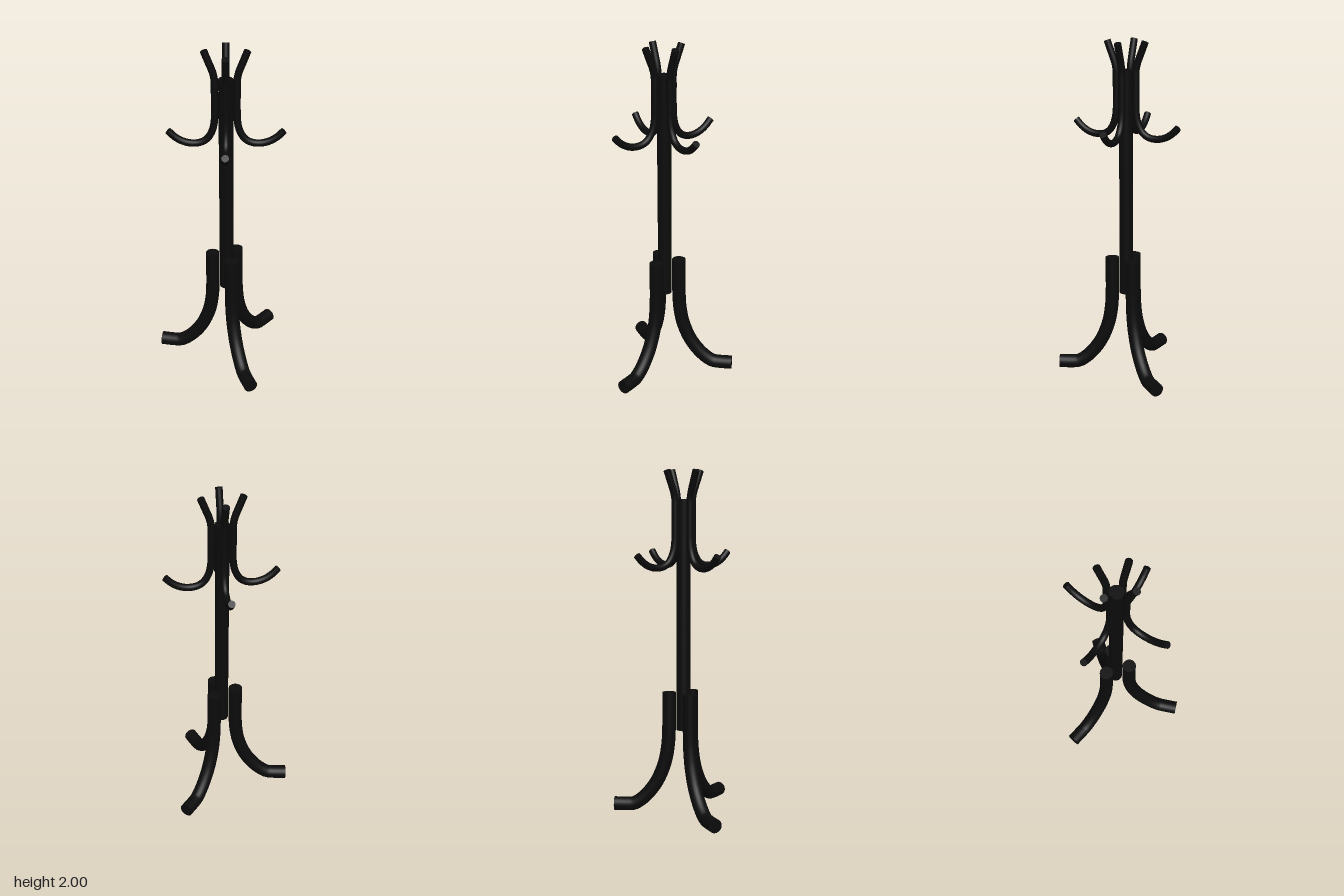
import * as THREE from 'three';

const black = new THREE.MeshStandardMaterial({ color: 0x0b0b0b });
black.name = 'black';

// Round bar with flat end caps, bent along a profile of [distance from pole, height]
function bentBar(name, profile, radius, segments) {
  const group = new THREE.Group();
  group.name = name;
  const curve = new THREE.CatmullRomCurve3(profile.map(([r, y]) => new THREE.Vector3(r, y, 0)));
  const bar = new THREE.Mesh(new THREE.TubeGeometry(curve, segments, radius, 24), black);
  bar.name = name + 'Bar';
  group.add(bar);
  for (const t of [0, 1]) {
    const cap = new THREE.Mesh(new THREE.CircleGeometry(radius, 24), black);
    cap.name = name + 'Cap';
    const outward = curve.getTangentAt(t).multiplyScalar(t ? 1 : -1);
    cap.position.copy(curve.getPointAt(t));
    cap.quaternion.setFromUnitVectors(new THREE.Vector3(0, 0, 1), outward);
    group.add(cap);
  }
  return group;
}

export function createModel() {
  const model = new THREE.Group();
  model.name = 'coatStand';

  // Everything is arranged around the pole axis
  const stand = new THREE.Group();
  stand.name = 'stand';
  stand.position.x = -0.073;
  model.add(stand);

  const pole = new THREE.Mesh(new THREE.CylinderGeometry(0.04, 0.04, 1.33, 32), black);
  pole.name = 'pole';
  pole.position.y = 1.165;
  stand.add(pole);

  // Three legs, upright at the pole and flat on the floor
  const legProfile = [
    [0.083, 0.72], [0.083, 0.6], [0.084, 0.5], [0.09, 0.4], [0.11, 0.295], [0.158, 0.18],
    [0.228, 0.09], [0.29, 0.046], [0.33, 0.041], [0.408, 0.041],
  ];
  for (const angle of [1.4, 120, 240.4]) {
    const leg = bentBar('leg', legProfile, 0.04, 48);
    leg.rotation.y = -THREE.MathUtils.degToRad(angle);
    stand.add(leg);
  }

  // Four double hooks: a splayed prong on top and a curled hook below
  const hookProfile = [
    [0.115, 1.99], [0.09, 1.925], [0.07, 1.872], [0.061, 1.83], [0.06, 1.76], [0.06, 1.65],
    [0.062, 1.59], [0.074, 1.53], [0.102, 1.48], [0.14, 1.456], [0.19, 1.451], [0.24, 1.464],
    [0.282, 1.491], [0.315, 1.525],
  ];
  for (const angle of [-39.4, 50, 140.7, 230.7]) {
    const hook = bentBar('hook', hookProfile, 0.02, 64);
    hook.rotation.y = -THREE.MathUtils.degToRad(angle);
    stand.add(hook);
  }

  return model;
}
